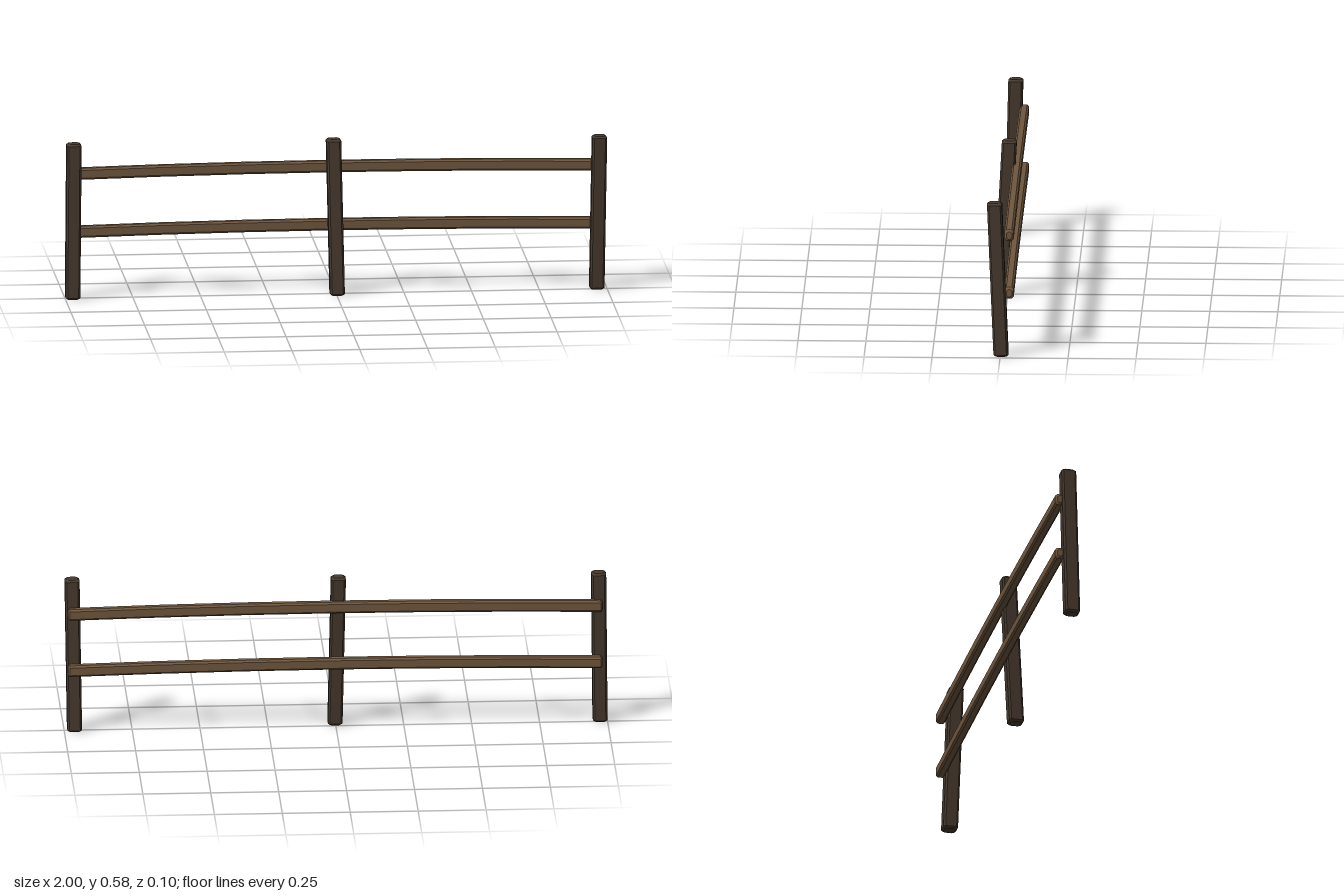
import * as THREE from 'three';

// Cross-section: rectangle with chamfered corners, counter-clockwise
function section(w, h, c) {
  const a = w / 2, b = h / 2;
  return [[a, -b + c], [a, b - c], [a - c, b], [-a + c, b],
    [-a, b - c], [-a, -b + c], [-a + c, -b], [a - c, -b]];
}

// Lofts the section along a list of centre points; u x v points along the beam
function beam(points, u, v, w, h, c) {
  const first = points[0], last = points[points.length - 1];
  const dir = points[1].clone().sub(first).normalize();
  const endDir = last.clone().sub(points[points.length - 2]).normalize();
  const inset = 0.007;
  const stations = [
    { p: first, s: inset },
    { p: first.clone().addScaledVector(dir, inset), s: 0 },
    ...points.slice(1, -1).map(p => ({ p, s: 0 })),
    { p: last.clone().addScaledVector(endDir, -inset), s: 0 },
    { p: last, s: inset },
  ];
  const pos = [], index = [], n = 8;
  for (const { p, s } of stations) {
    for (const [a, b] of section(w - 2 * s, h - 2 * s, c)) {
      pos.push(...p.clone().addScaledVector(u, a).addScaledVector(v, b).toArray());
    }
  }
  for (let i = 0; i < stations.length - 1; i++) {
    for (let j = 0; j < n; j++) {
      const a = i * n + j, b = i * n + (j + 1) % n;
      index.push(a, b, b + n, a, b + n, a + n);
    }
  }
  const end = (stations.length - 1) * n;
  for (let j = 1; j < n - 1; j++) {
    index.push(0, j + 1, j, end, end + j, end + j + 1);
  }
  const geo = new THREE.BufferGeometry();
  geo.setAttribute('position', new THREE.Float32BufferAttribute(pos, 3));
  geo.setIndex(index);
  const flat = geo.toNonIndexed();
  flat.computeVertexNormals();
  return flat;
}

export function createModel() {
  const group = new THREE.Group();
  const X = new THREE.Vector3(1, 0, 0);
  const Y = new THREE.Vector3(0, 1, 0);
  const Z = new THREE.Vector3(0, 0, 1);
  const darkWood = new THREE.MeshStandardMaterial({ color: 0x46392e, flatShading: true });
  const lightWood = new THREE.MeshStandardMaterial({ color: 0x70573f, flatShading: true });

  const add = (name, geo, mat) => {
    const mesh = new THREE.Mesh(geo, mat);
    mesh.name = name;
    group.add(mesh);
  };

  // Posts, each leaning a little: [name, foot x, foot z, top x, top z]
  const posts = [
    ['rightPost', -0.973, 0.012, -0.967, -0.002],
    ['middlePost', 0.002, 0.025, -0.009, -0.006],
    ['leftPost', 0.962, -0.003, 0.97, 0.021],
  ];
  for (const [name, x0, z0, x1, z1] of posts) {
    const path = [new THREE.Vector3(x0, 0.002, z0), new THREE.Vector3(x1, 0.583, z1)];
    add(name, beam(path, Z, X, 0.055, 0.054, 0.007), darkWood);
  }

  // Rails behind the posts, bowed gently upward in the middle
  for (const [name, y] of [['lowerRail', 0.244], ['upperRail', 0.462]]) {
    const path = [];
    for (let i = 0; i <= 6; i++) {
      const t = i / 3 - 1;
      path.push(new THREE.Vector3(0.004 + 0.984 * t, y + 0.012 * (1 - t * t), -0.033));
    }
    add(name, beam(path, Y, Z, 0.043, 0.034, 0.007), lightWood);
  }
  return group;
}
